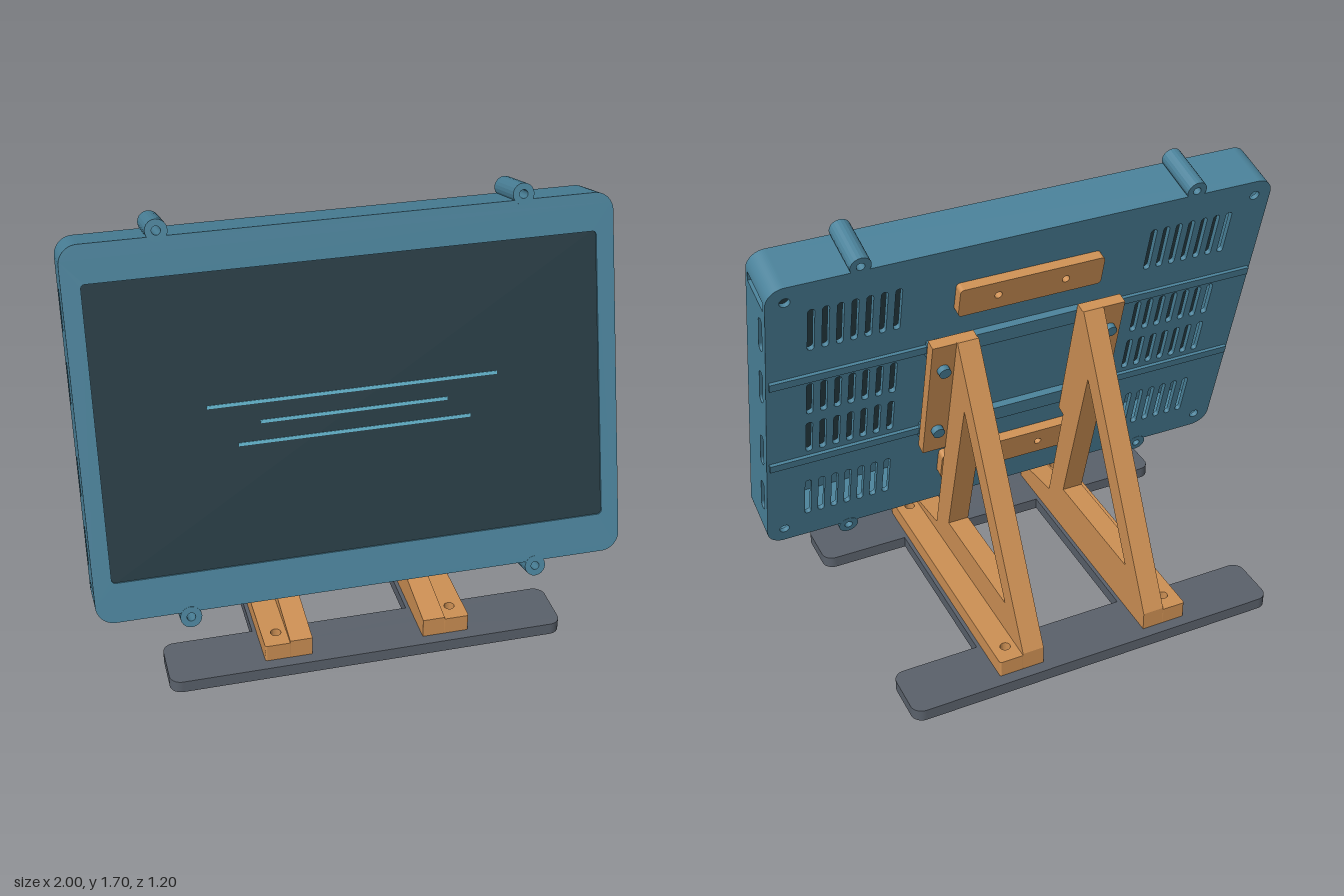
import * as THREE from 'three';

const mat = (name, color) => {
  const m = new THREE.MeshStandardMaterial({ color });
  m.name = name;
  return m;
};

// Rounded rectangle outline centred on (cx, cy)
function roundRect(cx, cy, w, h, r, Type = THREE.Shape) {
  const s = new Type(), x = w / 2, y = h / 2;
  s.absarc(cx + x - r, cy + y - r, r, 0, Math.PI / 2);
  s.absarc(cx - x + r, cy + y - r, r, Math.PI / 2, Math.PI);
  s.absarc(cx - x + r, cy - y + r, r, Math.PI, Math.PI * 1.5);
  s.absarc(cx + x - r, cy - y + r, r, Math.PI * 1.5, Math.PI * 2);
  s.closePath();
  return s;
}
const slot = (cx, cy, w, h) => roundRect(cx, cy, w, h, Math.min(w, h) / 2 - 0.0005, THREE.Path);
const circle = (cx, cy, r, Type = THREE.Path) => new Type().absarc(cx, cy, r, 0, Math.PI * 2);
const polygon = (pts, Type = THREE.Shape) => new Type(pts.map(p => new THREE.Vector2(...p)));
const extrude = (shape, depth) =>
  new THREE.ExtrudeGeometry(shape, { depth, bevelEnabled: false, curveSegments: 10 });

// Extrusions standing on edge (shape = z, y) and lying flat (shape = x, z)
const sideways = (shape, x0, x1) => extrude(shape, x1 - x0).rotateY(-Math.PI / 2).translate(x1, 0, 0);
const flat = (shape, y0, y1) => extrude(shape, y1 - y0).rotateX(Math.PI / 2).translate(0, y1, 0);

export function createModel() {
  const model = new THREE.Group();
  model.name = 'displayOnStand';
  const blue = mat('caseBlue', 0x4a8199);
  const glass = mat('screenDark', 0x263b43);
  const cyan = mat('screenLineCyan', 0x63b3cc);
  const orange = mat('standOrange', 0xcd9054);
  const grey = mat('baseGrey', 0x5a616b);

  const add = (parent, name, geo, material, x = 0, y = 0, z = 0) => {
    const m = new THREE.Mesh(geo, material);
    m.name = name;
    m.position.set(x, y, z);
    parent.add(m);
    return m;
  };

  // ---- Tilted display ----
  const display = new THREE.Group();
  display.name = 'display';
  display.position.set(0, 0.946, 0.246);
  display.rotation.x = -THREE.MathUtils.degToRad(15);
  model.add(display);

  const H = 0.69, D = 0.1025, R = 0.07, T = 0.035, P = 0.02, E = 0.58;

  // Front bezel and recessed screen
  const bezel = roundRect(0, 0, 2, 2 * H, R);
  bezel.holes.push(roundRect(0, 0.005, 1.865, 1.09, 0.015, THREE.Path));
  add(display, 'bezel', extrude(bezel, P), blue, 0, 0, D - P);
  add(display, 'screen', new THREE.BoxGeometry(1.9, 1.13, 0.01), glass, 0, 0.005, D - 0.012);
  [[0, 0.065, 1.075], [-0.002, -0.01, 0.695], [-0.002, -0.085, 0.865]].forEach(([x, y, w]) =>
    add(display, 'screenLine', new THREE.BoxGeometry(w, 0.012, 0.004), cyan, x, y, D - 0.006));

  // Vented back panel
  const back = roundRect(0, 0, 2, 2 * H, R);
  for (const s of [-1, 1]) {
    for (const [y, h] of [[0.46, 0.2], [0.105, 0.16], [-0.105, 0.16], [-0.46, 0.2]])
      for (let i = 0; i < 7; i++) back.holes.push(slot(s * (0.51 + i * 0.054), y, 0.026, h));
    for (const y of [-0.62, 0.62]) back.holes.push(circle(s * 0.93, y, 0.02));
  }
  add(display, 'backPanel', extrude(back, P), blue, 0, 0, -D);

  // Top and bottom walls with rounded corners
  const cap = new THREE.Shape();
  cap.moveTo(1, E);
  cap.absarc(1 - R, H - R, R, 0, Math.PI / 2);
  cap.absarc(-1 + R, H - R, R, Math.PI / 2, Math.PI);
  [[-1, E], [-1 + T, E], [-1 + T, H - T], [1 - T, H - T], [1 - T, E]].forEach(p => cap.lineTo(...p));
  cap.closePath();
  const capGeo = extrude(cap, 2 * (D - P));
  add(display, 'topWall', capGeo, blue, 0, 0, -D + P);
  add(display, 'bottomWall', capGeo, blue, 0, 0, -D + P).rotation.z = Math.PI;

  for (const s of [-1, 1]) {
    // Slotted side walls
    const wall = roundRect(0, 0, 2 * (D - P), 2 * E, 0.0005);
    for (const y of [-0.44, -0.174, 0.174, 0.44]) wall.holes.push(slot(-0.05, y, 0.036, 0.155));
    add(display, 'sideWall', sideways(wall, s > 0 ? 1 - T : -1, s > 0 ? 1 : -1 + T), blue);

    for (const v of [-1, 1]) {
      // Screw tubes above and below the case
      const tube = circle(s * 0.66, v * 0.71, 0.04, THREE.Shape);
      tube.holes.push(circle(s * 0.66, v * 0.71, 0.016));
      add(display, 'screwTube', extrude(tube, 2 * D + 0.002), blue, 0, 0, -D - 0.001);
    }
  }

  for (const v of [-1, 1]) {
    // Rear ribs
    add(display, 'rearRib', new THREE.BoxGeometry(1.98, 0.035, 0.014), blue, 0, v * 0.224, -D - 0.006);
    add(display, 'ribMount', new THREE.BoxGeometry(0.78, 0.07, 0.03), blue, 0, v * 0.224, -D - 0.014);
    // Clamp bars with two screw holes
    const bar = roundRect(0, 0, 0.58, 0.13, 0.015);
    for (const s of [-1, 1]) bar.holes.push(circle(s * 0.136, 0, 0.015));
    add(display, 'clampBar', extrude(bar, 0.04), orange, 0, v * 0.455, -D - 0.04);
  }

  // ---- Triangular stand frames ----
  const web = polygon([[0.555, 0.05], [0.555, 0.125], [0.277, 0.165], [0.155, 0.625], [0.005, 1.185],
    [-0.005, 1.185], [-0.555, 0.125], [-0.555, 0.05]]);
  web.holes.push(polygon([[-0.05, 0.91], [0.145, 0.25], [-0.395, 0.25]], THREE.Path));
  for (const s of [-1, 1]) {
    add(model, 'standFrame', sideways(web, s > 0 ? 0.215 : -0.3, s > 0 ? 0.3 : -0.215), orange);

    // Foot flange with screw holes
    const flange = roundRect(s * 0.345, 0, 0.1, 1.11, 0.008);
    for (const z of [-0.48, 0.48]) flange.holes.push(circle(s * 0.34, z, 0.02));
    add(model, 'footFlange', flat(flange, 0.05, 0.117), orange);

    // Mounting plate against the display, with its screws
    add(display, 'mountPlate', new THREE.BoxGeometry(0.18, 0.58, 0.045), orange, s * 0.305, 0, -0.1525);
    for (const v of [-0.167, 0.167])
      add(display, 'mountScrew', new THREE.CylinderGeometry(0.024, 0.024, 0.03, 20).rotateX(Math.PI / 2),
        blue, s * 0.345, v, -0.185);
  }

  // ---- Base: two cross feet joined by two rails ----
  for (const v of [-1, 1]) {
    const foot = roundRect(0, v * 0.485, 1.515, 0.23, 0.045);
    for (const s of [-1, 1]) {
      foot.holes.push(circle(s * 0.34, v * 0.48, 0.02));
      // Round pads underneath
      add(model, 'footPad', new THREE.CylinderGeometry(0.05, 0.05, 0.006, 24), grey,
        s * 0.66, 0.003, v * 0.485);
    }
    add(model, 'baseFoot', flat(foot, 0.003, 0.05), grey);
    add(model, 'baseRail', new THREE.BoxGeometry(0.21, 0.047, 0.742), grey, v * 0.305, 0.0265, 0);
  }
  return model;
}
